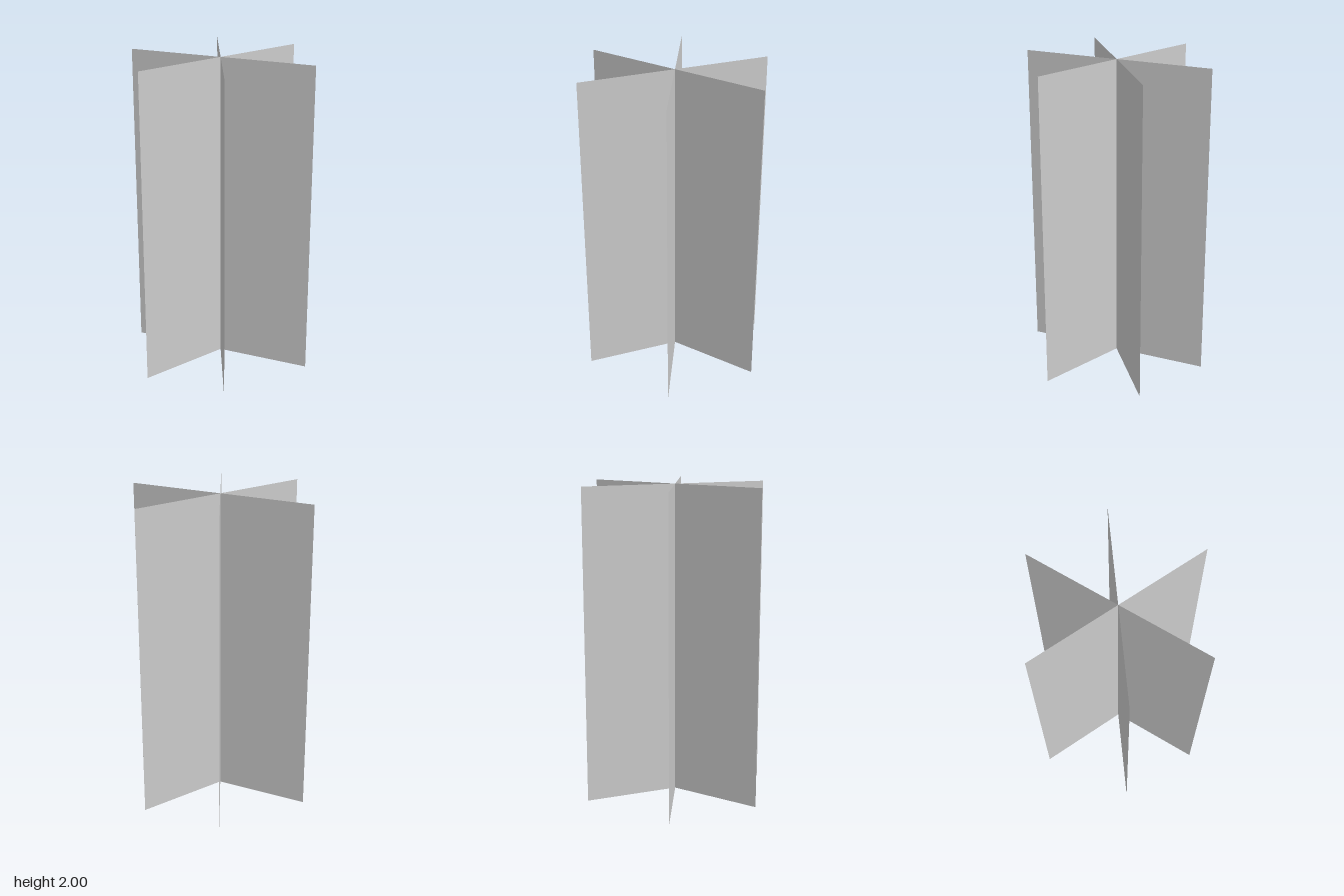
import * as THREE from 'three';

export function createModel() {
  const group = new THREE.Group();
  group.name = 'crossedPanels';

  const material = new THREE.MeshStandardMaterial({ color: 0xcccccc, side: THREE.DoubleSide });
  const panel = new THREE.PlaneGeometry(1.2, 2);

  // Three upright sheets crossing on the vertical axis, at slightly uneven angles
  const angles = { panelFrontToBack: 90, panelBackRightToFrontLeft: -36.6, panelFrontRightToBackLeft: 28.6 };
  for (const [name, degrees] of Object.entries(angles)) {
    const mesh = new THREE.Mesh(panel, material);
    mesh.name = name;
    mesh.position.y = 1;
    mesh.rotation.y = THREE.MathUtils.degToRad(degrees);
    group.add(mesh);
  }
  return group;
}
